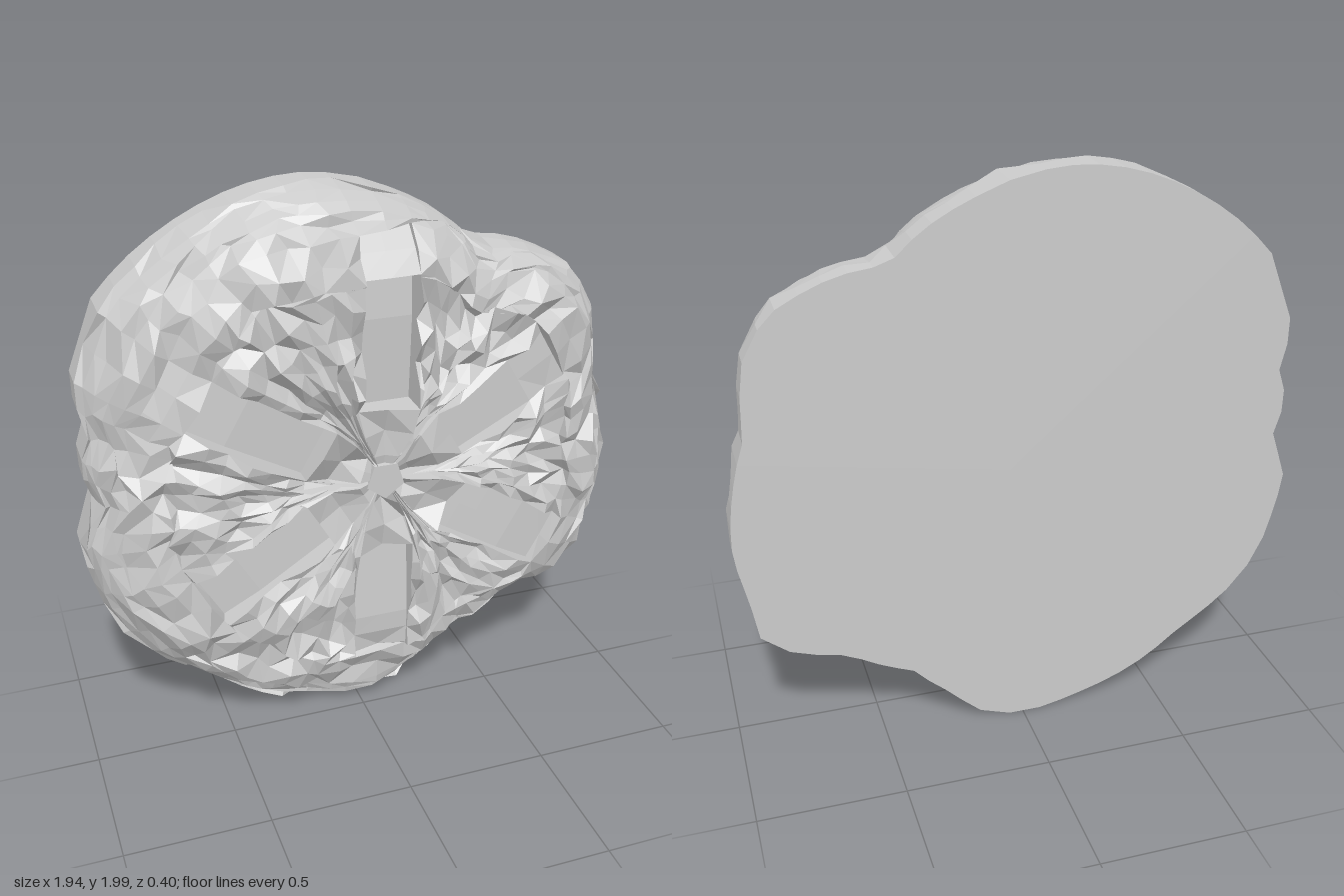
import * as THREE from 'three';

const CX = 0.05, CY = 1.0, BACK = -0.2, SIXTH = Math.PI / 3;

// Silhouette of the rock, counter-clockwise from the right
const OUTLINE = [
  [0.95, 1.05], [0.9, 1.23], [0.88, 1.5], [0.8, 1.62], [0.59, 1.72], [0.43, 1.74], [0.32, 1.84],
  [0.17, 1.92], [0.01, 1.98], [-0.18, 2.0], [-0.36, 1.97], [-0.57, 1.88], [-0.73, 1.77], [-0.84, 1.66],
  [-0.89, 1.53], [-0.94, 1.4], [-0.91, 1.24], [-0.945, 1.13], [-0.9, 0.97], [-0.97, 0.87], [-0.93, 0.65],
  [-0.89, 0.52], [-0.79, 0.39], [-0.6, 0.25], [-0.42, 0.12], [-0.2, 0.04], [0, 0], [0.14, 0.03],
  [0.27, 0.15], [0.4, 0.27], [0.62, 0.38], [0.9, 0.47], [0.93, 0.65], [0.97, 0.84],
].map(([x, y]) => {
  const a = Math.atan2(y - CY, x - CX);
  return [a < 0 ? a + 2 * Math.PI : a, Math.hypot(x - CX, y - CY)];
}).sort((p, q) => p[0] - q[0]);

// Height of the front face along x and along y
const ALONG_X = [[-1, 0.03], [-0.6, 0.11], [-0.28, 0.2], [0, 0.16], [0.3, 0.12], [0.6, 0.09], [1, 0.04]];
const ALONG_Y = [[0, 0], [0.2, 0.05], [0.4, 0.09], [0.6, 0.11], [1, 0.13], [1.3, 0.16], [1.55, 0.2], [1.8, 0.16], [2, 0.1]];

function sample(table, v) {
  const i = Math.max(1, Math.min(table.length - 1, table.findIndex((p) => p[0] >= v)));
  const [a, b] = [table[i - 1], table[i]];
  return THREE.MathUtils.mapLinear(v, a[0], b[0], a[1], b[1]);
}

function radiusAt(angle) {
  const a = ((angle % (2 * Math.PI)) + 2 * Math.PI) % (2 * Math.PI);
  const first = OUTLINE[0], last = OUTLINE[OUTLINE.length - 1];
  return sample([[last[0] - 2 * Math.PI, last[1]], ...OUTLINE, [first[0] + 2 * Math.PI, first[1]]], a);
}

// Repeatable noise, -0.5 to 0.5
function noise(a, b, c) {
  const n = Math.sin(a * 127.1 + b * 311.7 + c * 74.7) * 43758.5453;
  return n - Math.floor(n) - 0.5;
}

// Rings from hub to slot end: [distance, floor of short slots, floor of long slots]
const RINGS = [
  [0.09], [0.18], [0.27], [0.27, 0.03, 0.03], [0.345, 0.035, 0.035], [0.42, 0.04, 0.04], [0.495, 0.045, 0.045],
  [0.57, 0.05, 0.05], [0.645, 0.045, 0.045], [0.72, 0.04, 0.04], [0.73, undefined, 0.13],
  [0.8, undefined, 0.07], [0.87, undefined, 0.0], [0.87],
];
// Rings over the rim, as fractions from slot end to silhouette
const RIM = [0.25, 0.5, 0.7, 0.87, 1];

// One sixth of the columns: rough rock, slot, rough rock
const SIDE = 5;
const COLUMNS = [];
for (let i = SIDE; i >= 0; i--) COLUMNS.push({ rock: -i / SIDE, id: SIDE - i });
for (const u of [-1, 0, 1]) COLUMNS.push({ slot: u, id: SIDE + 1 + u });
for (let i = 0; i < SIDE; i++) COLUMNS.push({ rock: i / SIDE, id: SIDE + 2 + i, right: true });

function surfaceHeight(x, y, edge, bump) {
  const d = Math.hypot(x - CX, y - CY);
  const h = Math.min(sample(ALONG_X, x), sample(ALONG_Y, y)) - 0.05 * Math.exp(-d * d / 0.08) - 0.015 + bump * 0.07;
  const t = THREE.MathUtils.clamp((edge - 0.78) / 0.22, 0, 1);
  return -0.13 + (h + 0.13) * Math.sqrt(1 - t * t);
}

function ringPoint(sector, col, s, floor, rim) {
  const middle = Math.PI / 6 + sector * SIXTH;
  const half = Math.min(0.1, s * 0.45);
  const key = s * 100 + rim * 37, id = col.id + sector * 40;
  const n = (c) => noise(key, id, c);
  let angle, r;
  if (col.slot !== undefined) {
    angle = middle + Math.atan2(col.slot * half, s);
    r = Math.hypot(s, col.slot * half);
  } else {
    const k = Math.abs(col.rock), sign = col.right ? 1 : -1;
    const edgeAngle = Math.atan2(half, s);
    angle = middle + sign * THREE.MathUtils.lerp(edgeAngle, SIXTH / 2, k);
    r = THREE.MathUtils.lerp(Math.hypot(s, half), s / 0.87 * 0.9 * radiusAt(angle), k);
    if (k > 0 && rim < 1) {
      angle += n(1) * 0.035;
      r += n(2) * 0.035;
    }
  }
  const R = radiusAt(angle);
  r = Math.min(THREE.MathUtils.lerp(r, R, rim), R);
  const x = CX + r * Math.cos(angle), y = CY + r * Math.sin(angle);
  let z = surfaceHeight(x, y, r / R, n(3));
  if (rim === 1) z = -0.1 + n(4) * 0.1;
  if (floor !== undefined && col.slot !== undefined) z = Math.min(z, floor);
  return new THREE.Vector3(x, y, z);
}

function buildRing(s, shortFloor, longFloor, rim = 0) {
  const ring = [];
  for (let sector = 0; sector < 6; sector++) {
    const long = sector === 1 || sector === 2;
    for (const col of COLUMNS) ring.push(ringPoint(sector, col, s, long ? longFloor : shortFloor, rim));
  }
  return ring;
}

function meshFrom(name, triangles, material) {
  const solid = triangles.filter((t) => new THREE.Triangle(...t).getArea() > 1e-7);
  const geometry = new THREE.BufferGeometry().setFromPoints(solid.flat());
  geometry.computeVertexNormals();
  const mesh = new THREE.Mesh(geometry, material);
  mesh.name = name;
  return mesh;
}

export function createModel() {
  const group = new THREE.Group();
  group.name = 'slottedRock';
  const material = new THREE.MeshStandardMaterial({ color: 0xcccccc, flatShading: true });

  const rings = RINGS.map((r) => buildRing(...r));
  for (const f of RIM) rings.push(buildRing(0.87, undefined, undefined, f));
  const silhouette = rings[rings.length - 1];
  // Side wall: a rough waist, then the straight back edge
  rings.push(silhouette.map((p) => new THREE.Vector3(p.x, p.y, BACK)));

  // Rough front with six radial slots
  const front = [];
  const count = silhouette.length;
  for (let i = 0; i < rings.length - 1; i++) {
    for (let j = 0; j < count; j++) {
      const k = (j + 1) % count;
      const [a, b, c, d] = [rings[i][j], rings[i + 1][j], rings[i + 1][k], rings[i][k]];
      if (noise(i, j, 9) > 0) front.push([a, b, c], [a, c, d]);
      else front.push([a, b, d], [b, c, d]);
    }
  }
  // Centre cap and flat back
  const centre = new THREE.Vector3(CX, CY, 0.06);
  const backCentre = new THREE.Vector3(CX, CY, BACK);
  const back = [];
  const edge = rings[rings.length - 1];
  for (let j = 0; j < count; j++) {
    const k = (j + 1) % count;
    front.push([centre, rings[0][j], rings[0][k]]);
    back.push([backCentre, edge[k], edge[j]]);
  }
  group.add(meshFrom('rockFront', front, material), meshFrom('flatBack', back, material));

  // Five-sided hub stone
  const hub = new THREE.Mesh(new THREE.CylinderGeometry(0.07, 0.08, 0.1, 5), material);
  hub.name = 'hubStone';
  hub.rotation.x = Math.PI / 2;
  hub.position.set(CX, CY, 0.04);
  group.add(hub);

  return group;
}
